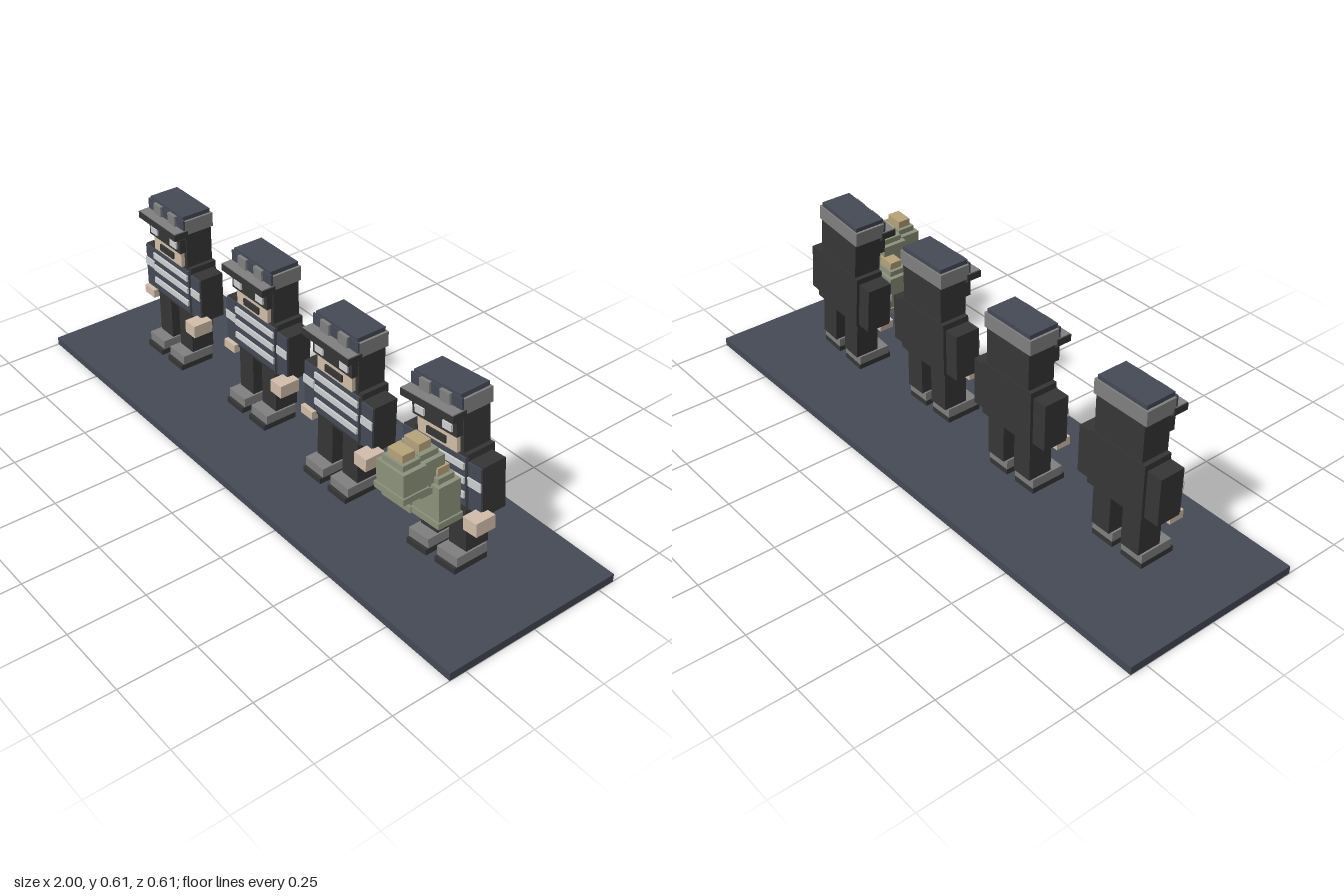
import * as THREE from 'three';

const paint = (name, color) => {
  const m = new THREE.MeshStandardMaterial({ color });
  m.name = name;
  return m;
};

export function createModel() {
  const black = paint('black', 0x363636);
  const navy = paint('slate blue', 0x454a56);
  const grey = paint('grey', 0x808080);
  const white = paint('pale grey', 0xcdcfd1);
  const skin = paint('skin', 0xd3beaa);
  const green = paint('bag green', 0x8d937c);
  const tan = paint('bag tan', 0xb8a47a);

  // Box given by its limits on each axis
  const box = (parent, name, mat, x0, x1, y0, y1, z0, z1) => {
    const mesh = new THREE.Mesh(new THREE.BoxGeometry(x1 - x0, y1 - y0, z1 - z0), mat);
    mesh.position.set((x0 + x1) / 2, (y0 + y1) / 2, (z0 + z1) / 2);
    mesh.name = name;
    parent.add(mesh);
    return mesh;
  };
  // Pair of boxes mirrored in x
  const pair = (parent, name, mat, x0, x1, ...rest) => {
    box(parent, name + 'Left', mat, x0, x1, ...rest);
    box(parent, name + 'Right', mat, -x1, -x0, ...rest);
  };

  function figure() {
    const g = new THREE.Group();
    g.name = 'figure';

    // Shoes and legs
    pair(g, 'sole', black, 0.018, 0.1, 0.038, 0.057, -0.06, 0.063);
    pair(g, 'shoe', grey, 0.018, 0.1, 0.057, 0.088, -0.06, 0.053);
    pair(g, 'leg', black, 0.024, 0.094, 0.088, 0.235, -0.07, 0.013);

    // Striped shirt
    box(g, 'torso', black, -0.107, 0.107, 0.23, 0.412, -0.083, 0.013);
    box(g, 'shirtFront', navy, -0.1, 0.1, 0.245, 0.4, 0.013, 0.019);
    for (const y of [0.375, 0.33, 0.283])
      box(g, 'shirtStripe', white, -0.098, 0.098, y - 0.01, y + 0.01, 0.019, 0.025);

    // Arms and hands
    pair(g, 'arm', black, 0.107, 0.158, 0.235, 0.392, -0.073, 0.01);
    pair(g, 'sleeveFront', navy, 0.107, 0.156, 0.24, 0.39, 0.01, 0.015);
    pair(g, 'sleeveStripe', white, 0.107, 0.157, 0.317, 0.345, 0.015, 0.019);
    box(g, 'handLeft', skin, 0.135, 0.187, 0.21, 0.253, -0.007, 0.062);
    box(g, 'handRight', skin, -0.154, -0.1, 0.212, 0.24, -0.02, 0.03);

    // Head with mask
    box(g, 'head', black, -0.092, 0.092, 0.412, 0.54, -0.08, 0.015);
    box(g, 'face', skin, -0.078, 0.078, 0.412, 0.51, 0.015, 0.028);
    box(g, 'mask', black, -0.088, 0.088, 0.467, 0.515, 0.015, 0.037);
    pair(g, 'eye', white, 0.037, 0.073, 0.48, 0.503, 0.037, 0.043);
    box(g, 'mouth', black, -0.038, 0.038, 0.425, 0.447, 0.028, 0.034);

    // Cap with peak
    box(g, 'capBand', grey, -0.1, 0.1, 0.535, 0.583, -0.083, 0.022);
    box(g, 'capTop', navy, -0.092, 0.092, 0.583, 0.597, -0.078, 0.024);
    box(g, 'peak', black, -0.104, 0.104, 0.528, 0.55, 0.015, 0.065);
    box(g, 'peakTop', grey, -0.102, 0.102, 0.55, 0.553, 0.022, 0.063);
    for (let i = 0; i < 5; i++) {
      const x = -0.08 + i * 0.04;
      box(g, 'capBlock', i % 2 ? grey : navy, x - 0.02, x + 0.02, 0.553, 0.588, 0.022, i % 2 ? 0.035 : 0.028);
    }
    return g;
  }

  // Bag with wider foot slab and tied neck
  function bag(x, y, z, w, h, d) {
    const g = new THREE.Group();
    g.name = 'bag';
    box(g, 'bagFoot', green, -w / 2 - 0.005, w / 2 + 0.005, 0, 0.02, -d / 2 - 0.005, d / 2 + 0.005);
    box(g, 'bagBody', green, -w / 2, w / 2, 0.02, h - 0.018, -d / 2, d / 2);
    box(g, 'bagShoulder', green, -w / 2 + 0.014, w / 2 - 0.014, h - 0.018, h, -d / 2 + 0.01, d / 2 - 0.01);
    box(g, 'bagNeck', tan, -0.03, 0.03, h, h + 0.024, -0.021, 0.021);
    g.position.set(x, y, z);
    g.rotation.z = 0.07;
    return g;
  }

  const model = new THREE.Group();
  model.name = 'lineUp';
  box(model, 'base', navy, -1, 1, 0, 0.027, -0.307, 0.307);

  for (const [x, z] of [[-0.655, 0.027], [-0.217, 0.01], [0.217, 0.037]]) {
    const f = figure();
    f.position.set(x, 0, z);
    model.add(f);
  }

  // Leaning figure carrying the bags
  const leaner = figure();
  leaner.name = 'leaningFigure';
  leaner.position.set(0.653, 0.002, 0);
  leaner.rotation.z = 0.1;
  model.add(leaner);
  model.add(bag(0.575, 0.225, 0.09, 0.11, 0.148, 0.078));
  model.add(bag(0.683, 0.235, 0.085, 0.11, 0.148, 0.078));
  model.add(bag(0.64, 0.335, 0.118, 0.12, 0.12, 0.085));
  model.add(bag(0.653, 0.35, 0.187, 0.11, 0.108, 0.08));
  return model;
}
